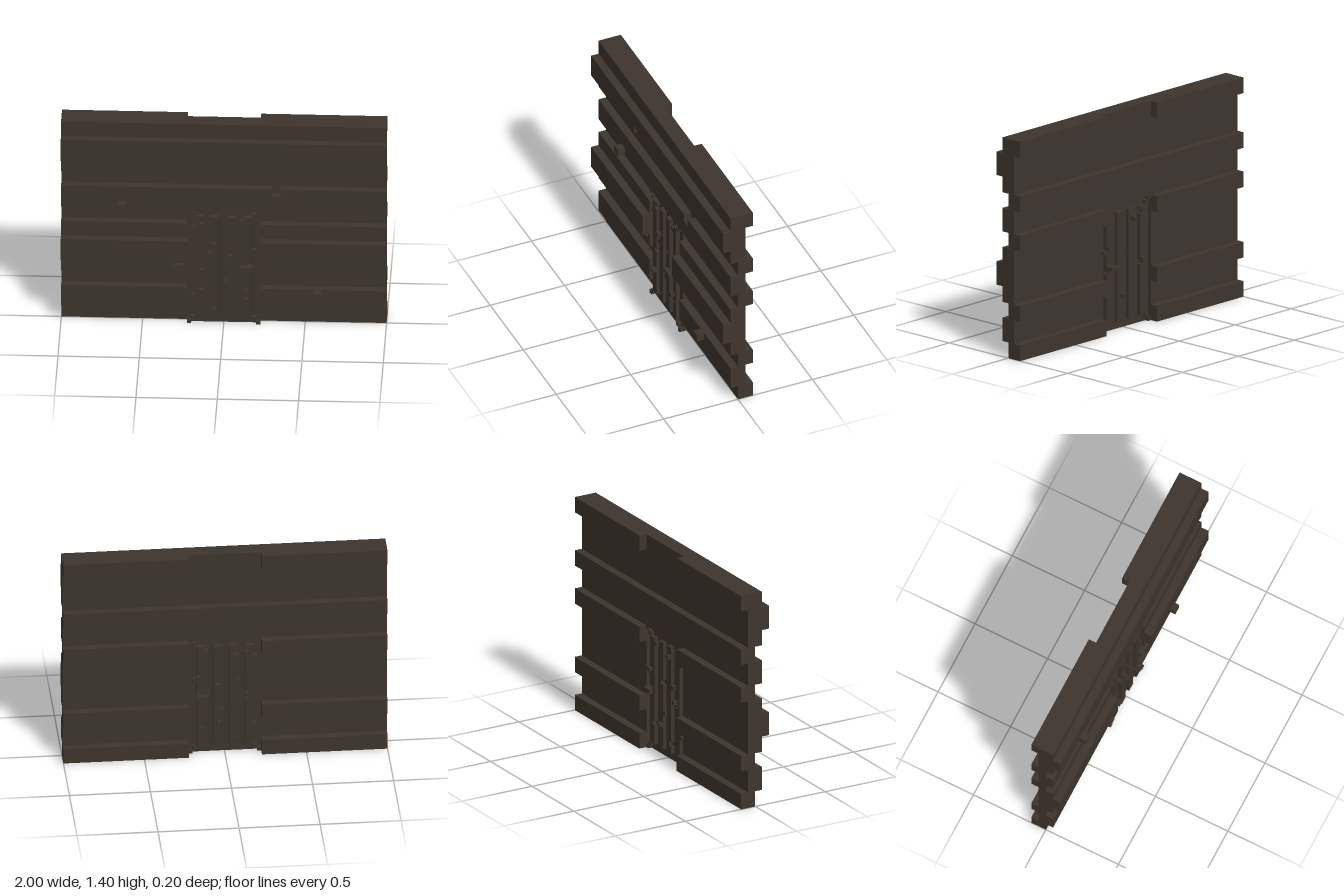
import * as THREE from 'three';

export function createModel() {
  const model = new THREE.Group();
  model.name = 'timberWall';
  const wood = new THREE.MeshStandardMaterial({ color: 0x3e352d });
  wood.name = 'darkTimber';

  // Rectangle outline; each bite [from, to, depth] cuts into an edge, negative depth sticks out
  function outline(x0, x1, y0, y1, { bottom = [], right = [], top = [], left = [] } = {}) {
    const p = [[x0, y0]];
    for (const [a, b, d] of bottom) p.push([a, y0], [a, y0 + d], [b, y0 + d], [b, y0]);
    p.push([x1, y0]);
    for (const [a, b, d] of right) p.push([x1, a], [x1 - d, a], [x1 - d, b], [x1, b]);
    p.push([x1, y1]);
    for (const [a, b, d] of top) p.push([b, y1], [b, y1 - d], [a, y1 - d], [a, y1]);
    p.push([x0, y1]);
    for (const [a, b, d] of left) p.push([x0, b], [x0 + d, b], [x0 + d, a], [x0, a]);
    return new THREE.Shape(p.map(([x, y]) => new THREE.Vector2(x, y)));
  }

  function slab(name, shape, z0, z1) {
    const geo = new THREE.ExtrudeGeometry(shape, { depth: z1 - z0, bevelEnabled: false });
    geo.translate(0, 0, z0);
    const mesh = new THREE.Mesh(geo, wood);
    mesh.name = name;
    model.add(mesh);
  }

  function block(name, x0, x1, y0, y1, z0, z1) {
    const mesh = new THREE.Mesh(new THREE.BoxGeometry(x1 - x0, y1 - y0, z1 - z0), wood);
    mesh.position.set((x0 + x1) / 2, (y0 + y1) / 2, (z0 + z1) / 2);
    mesh.name = name;
    model.add(mesh);
  }

  const D = 0.225; // half width of the doorway

  // Wall core with the doorway cut out of its foot
  slab('wallCore', outline(-1, 1, 0, 1.4, { bottom: [[-D, D, 0.8]] }), -0.05, 0);

  // Front cladding, with small chips missing
  slab('frontBoard', outline(-1, 1, 1.05, 1.4), 0, 0.05);
  slab('frontBoard', outline(-1, 1, 0.8, 0.95, { top: [[0.295, 0.35, 0.05]] }), 0, 0.05);
  slab('frontBoard', outline(-1, -D, 0.35, 0.7), 0, 0.0001);
  slab('frontBoard', outline(-1, -D, 0.35, 0.45, { top: [[-0.305, -0.25, 0.05]] }), 0, 0.05);
  block('frontBoard', -1, -D, 0.45, 0.7, 0, 0.05);
  block('frontBoard', D, 1, 0.35, 0.7, 0, 0.05);

  // Raised front logs
  slab('frontLog', outline(-1, 1, 1.15, 1.3, { bottom: [[-0.35, -0.3, 0.05]] }), 0.05, 0.1);
  block('backLog', -1, 1, 0.95, 1.05, -0.1, -0.05);

  // Logs on both sides of the doorway
  for (const [x0, x1] of [[-1, -D], [D, 1]]) {
    block('frontBoard', x0, x1, 0.1, 0.25, 0, 0.05);
    block('frontLog', x0, x1, 0.45, 0.6, 0.05, 0.1);
    for (const [y0, y1] of [[0, 0.1], [0.25, 0.35], [0.7, 0.8], [1.3, 1.4]])
      block('backLog', x0, x1, y0, y1, -0.1, -0.05);
  }

  // Loose knots on the front
  block('knot', -0.65, -0.6, 0.8, 0.85, 0.05, 0.1);
  block('knot', 0.55, 0.6, 0.2, 0.25, 0.05, 0.1);

  // Door panel with keyhole
  const keyhole = () => outline(0.15, 0.175, 0.375, 0.4);
  const panel = outline(-D, D, 0, 0.8);
  panel.holes.push(keyhole());
  slab('doorPanel', panel, -0.025, 0.025);

  // Ragged door planks
  const n = 0.025;
  const planks = [
    [-0.175, {
      left: [[0.65, 0.675, -n], [0.175, 0.2, -n]].reverse().sort((a, b) => b[0] - a[0]),
      right: [[0.375, 0.4, n], [0.7, 0.725, n]],
    }],
    [-0.075, { left: [[0.475, 0.5, -n], [0.1, 0.125, n]] }],
    [0.025, { left: [[0.475, 0.5, n], [0.275, 0.3, -n]] }],
    [0.125, {
      left: [[0.7, 0.725, -n], [0.175, 0.2, n]],
      right: [[0.375, 0.4, n], [0.5, 0.525, -n]],
    }],
  ];
  for (const [x, bites] of planks)
    slab('doorPlank', outline(x, x + 0.05, 0.05, 0.75, bites), -0.05, 0.05);

  // Corner blocks of the door
  for (const s of [-1, 1]) for (const [y, inner] of [[0, 0.025], [0.775, 0.75]]) {
    const cx = s * 0.2125, ix = s * 0.1875;
    block('doorCorner', cx - 0.0125, cx + 0.0125, y, y + n, -0.05, 0.05);
    block('doorCorner', ix - 0.0125, ix + 0.0125, inner, inner + n, -0.05, 0.05);
  }

  // Handles on both faces
  block('doorHandle', 0.1, 0.175, 0.4, 0.425, 0.075, 0.1);
  block('doorHandle', 0.1, 0.175, 0.4, 0.425, -0.1, -0.075);
  block('handleStem', 0.15, 0.175, 0.4, 0.425, -0.1, 0.1);

  // Studs on the planks: x, y and face
  for (const [x, y, s] of [
    [-0.075, 0.55, 1], [-0.15, 0.225, 1], [0.125, 0.225, 1],
    [-0.075, 0.675, -1], [0.15, 0.525, -1], [0.025, 0.2, -1], [-0.15, 0.4, -1],
  ]) block('doorStud', x, x + n, y, y + n, s > 0 ? 0.05 : -0.075, s > 0 ? 0.075 : -0.05);

  return model;
}
